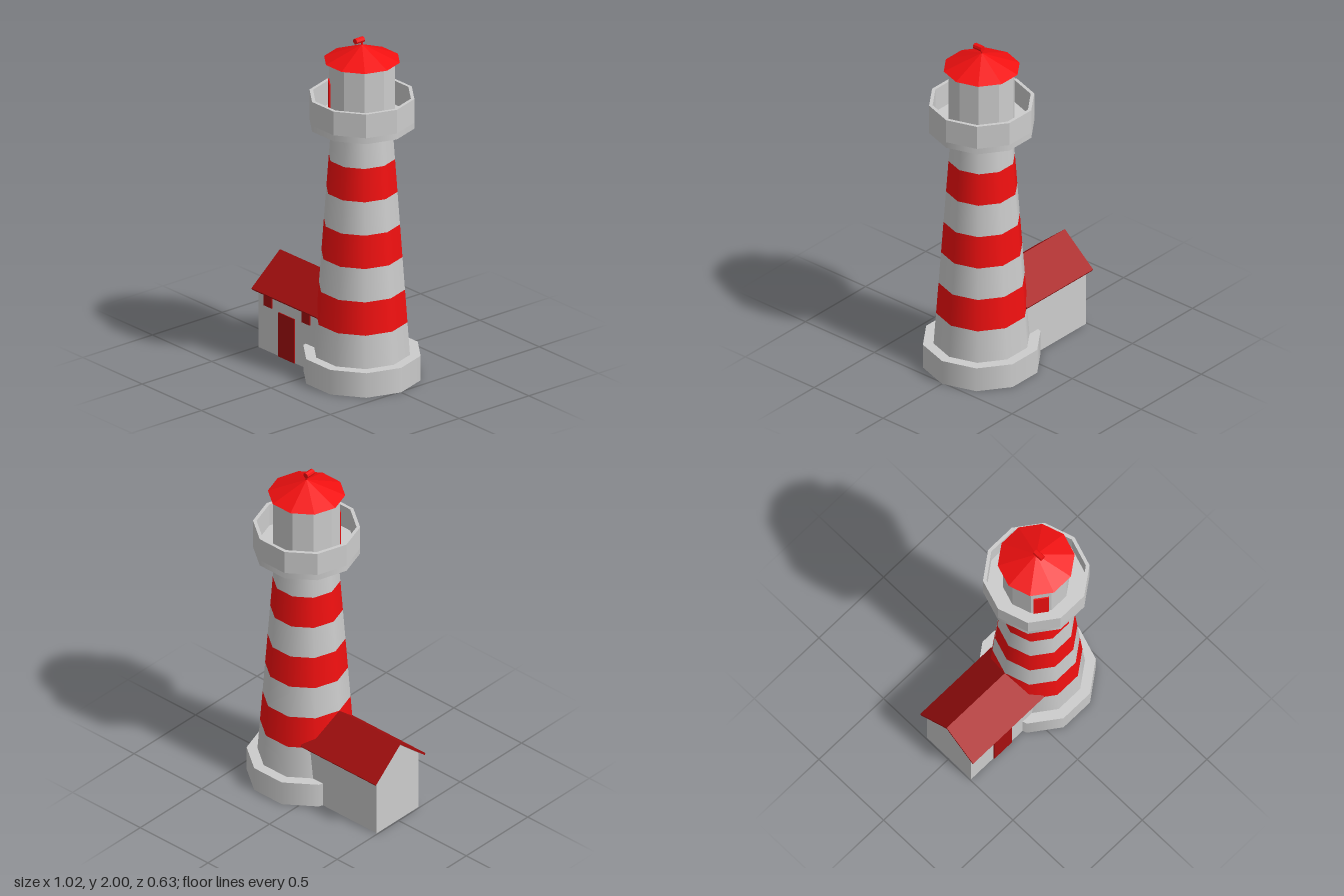
import * as THREE from 'three';

const SIDES = 10;
const AXIS_X = 0.18;
const mat = (color, flatShading = false) =>
  new THREE.MeshStandardMaterial({ color, flatShading, side: THREE.DoubleSide });
const grey = mat(0xcccccc);
const greyFlat = mat(0xcccccc, true);
const red = mat(0xf21010);
const redFlat = mat(0xf21010, true);
const darkRed = mat(0xa60f0f, true);

function add(parent, name, geometry, material, x = 0, y = 0, z = 0) {
  const mesh = new THREE.Mesh(geometry, material);
  mesh.name = name;
  mesh.position.set(x, y, z);
  parent.add(mesh);
  return mesh;
}

// Ten-sided open shell from y0 to y1, with corners on the x axis
function shell(r0, r1, y0, y1) {
  return new THREE.CylinderGeometry(r1, r0, y1 - y0, SIDES, 1, true, Math.PI / 2)
    .translate(0, (y0 + y1) / 2, 0);
}

// Ten-sided flat ring at height y
function ring(inner, outer, y) {
  return new THREE.RingGeometry(inner, outer, SIDES, 1).rotateX(-Math.PI / 2).translate(0, y, 0);
}

function createTower() {
  const tower = new THREE.Group();
  tower.name = 'tower';
  tower.position.x = AXIS_X;

  // Hollow plinth
  add(tower, 'plinthWall', shell(0.33, 0.33, 0, 0.145), grey);
  add(tower, 'plinthTop', ring(0.27, 0.33, 0.145), grey);

  // Tapering shaft in seven equal bands
  const y0 = 0.145, y1 = 1.485, bands = 7;
  const radius = (t) => THREE.MathUtils.lerp(0.27, 0.172, t);
  for (let i = 0; i < bands; i++) {
    const a = i / bands, b = (i + 1) / bands;
    const geometry = shell(radius(a), radius(b),
      THREE.MathUtils.lerp(y0, y1, a), THREE.MathUtils.lerp(y0, y1, b));
    add(tower, i % 2 ? 'redBand' : 'greyBand', geometry, i % 2 ? red : grey);
  }

  // Gallery: underside, rim, floor and parapet
  add(tower, 'galleryUnderside', ring(0.172, 0.295, 1.485).scale(1, 1, 1), grey);
  add(tower, 'galleryRim', shell(0.295, 0.295, 1.485, 1.52), grey);
  add(tower, 'galleryFloor', ring(0.15, 0.275, 1.52), grey);
  add(tower, 'parapetOutside', shell(0.295, 0.295, 1.52, 1.66), greyFlat);
  add(tower, 'parapetInside', shell(0.275, 0.275, 1.52, 1.66), greyFlat);
  add(tower, 'parapetTop', ring(0.275, 0.295, 1.66), greyFlat);

  // Lantern room and its door on the facet left of centre
  add(tower, 'lanternRoom', shell(0.185, 0.185, 1.52, 1.866), greyFlat);
  const angle = -Math.PI / 5, d = 0.177;
  const door = add(tower, 'lanternDoor', new THREE.BoxGeometry(0.086, 0.22, 0.012), redFlat,
    Math.sin(angle) * d, 1.63, Math.cos(angle) * d);
  door.rotation.y = angle;

  // Lantern roof with its finial
  const roof = new THREE.ConeGeometry(0.213, 0.09, SIDES, 1, false, Math.PI / 2);
  add(tower, 'lanternRoof', roof, redFlat, 0, 1.911, 0);
  add(tower, 'finialRod', new THREE.CylinderGeometry(0.005, 0.005, 0.035, 6), redFlat, 0, 1.963, 0);
  const finial = new THREE.CylinderGeometry(0.017, 0.017, 0.058, 8).rotateX(Math.PI / 2);
  add(tower, 'finial', finial, redFlat, 0, 1.984, 0.021);
  return tower;
}

function createHouse() {
  const house = new THREE.Group();
  house.name = 'house';
  const x0 = -0.493, x1 = 0.007, halfDepth = 0.17, eave = 0.36;
  const length = x1 - x0, midX = (x0 + x1) / 2;

  // Long walls, open underneath
  for (const s of [1, -1]) {
    const wall = new THREE.PlaneGeometry(length, eave);
    if (s < 0) wall.rotateY(Math.PI);
    add(house, s > 0 ? 'frontWall' : 'backWall', wall, greyFlat, midX, eave / 2, s * halfDepth);
  }

  // Gable walls
  const gable = new THREE.Shape([[-halfDepth, 0], [halfDepth, 0], [halfDepth, eave], [0, 0.508], [-halfDepth, eave]]
    .map(([z, y]) => new THREE.Vector2(z, y)));
  for (const s of [1, -1]) {
    const wall = new THREE.ShapeGeometry(gable).rotateY(s * Math.PI / 2);
    add(house, 'gableWall', wall, greyFlat, s > 0 ? x1 : x0, 0, 0);
  }

  // Thin pitched roof running into the tower
  const pitch = new THREE.Shape([[0, 0.527], [-0.205, 0.35], [-0.199, 0.34], [0, 0.512], [0.199, 0.34], [0.205, 0.35]]
    .map(([z, y]) => new THREE.Vector2(z, y)));
  const roof = new THREE.ExtrudeGeometry(pitch, { depth: 0.55, bevelEnabled: false }).rotateY(Math.PI / 2);
  add(house, 'houseRoof', roof, darkRed, -0.512, 0, 0);

  // Door and windows on the front
  add(house, 'houseDoor', new THREE.BoxGeometry(0.135, 0.26, 0.012), darkRed, -0.252, 0.13, halfDepth);
  for (const x of [-0.41, -0.09]) {
    add(house, 'window', new THREE.BoxGeometry(0.07, 0.066, 0.012), darkRed, x, 0.297, halfDepth);
  }
  return house;
}

export function createModel() {
  const model = new THREE.Group();
  model.name = 'lighthouse';
  model.add(createTower(), createHouse());
  return model;
}
